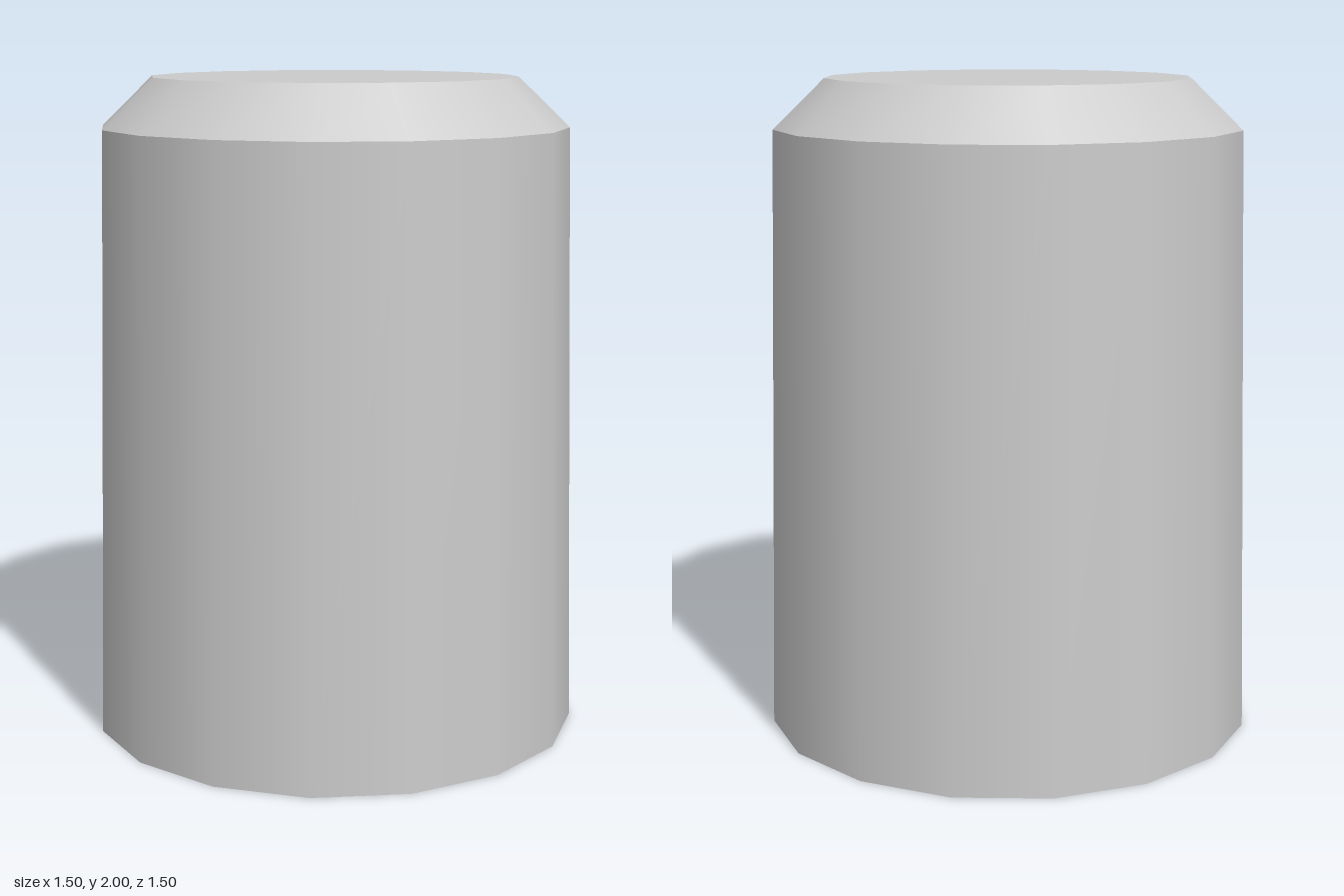
import * as THREE from 'three';

const SIDES = 16;
const BASE_RADIUS = 0.75, SHOULDER_RADIUS = 0.71, TOP_RADIUS = 0.555;
const SHOULDER_Y = 1.85, TOP_Y = 2;

export function createModel() {
  const group = new THREE.Group();
  const material = new THREE.MeshStandardMaterial({ color: 0xcccccc });

  function add(name, geometry) {
    const mesh = new THREE.Mesh(geometry, material);
    mesh.name = name;
    group.add(mesh);
  }

  // Open tapered ring between two heights, smooth around the side
  function taper(name, topRadius, bottomRadius, y0, y1) {
    const geometry = new THREE.CylinderGeometry(topRadius, bottomRadius, y1 - y0, SIDES, 1, true);
    add(name, geometry.translate(0, (y0 + y1) / 2, 0));
  }

  // Flat disc facing up (+1) or down (-1)
  function disc(name, radius, y, facing) {
    const geometry = new THREE.CircleGeometry(radius, SIDES);
    add(name, geometry.rotateX(-facing * Math.PI / 2).translate(0, y, 0));
  }

  // Tall body with a chamfered shoulder, closed at both ends
  taper('body', SHOULDER_RADIUS, BASE_RADIUS, 0, SHOULDER_Y);
  taper('shoulder', TOP_RADIUS, SHOULDER_RADIUS, SHOULDER_Y, TOP_Y);
  disc('topFace', TOP_RADIUS, TOP_Y, 1);
  disc('bottomFace', BASE_RADIUS, 0, -1);

  return group;
}
